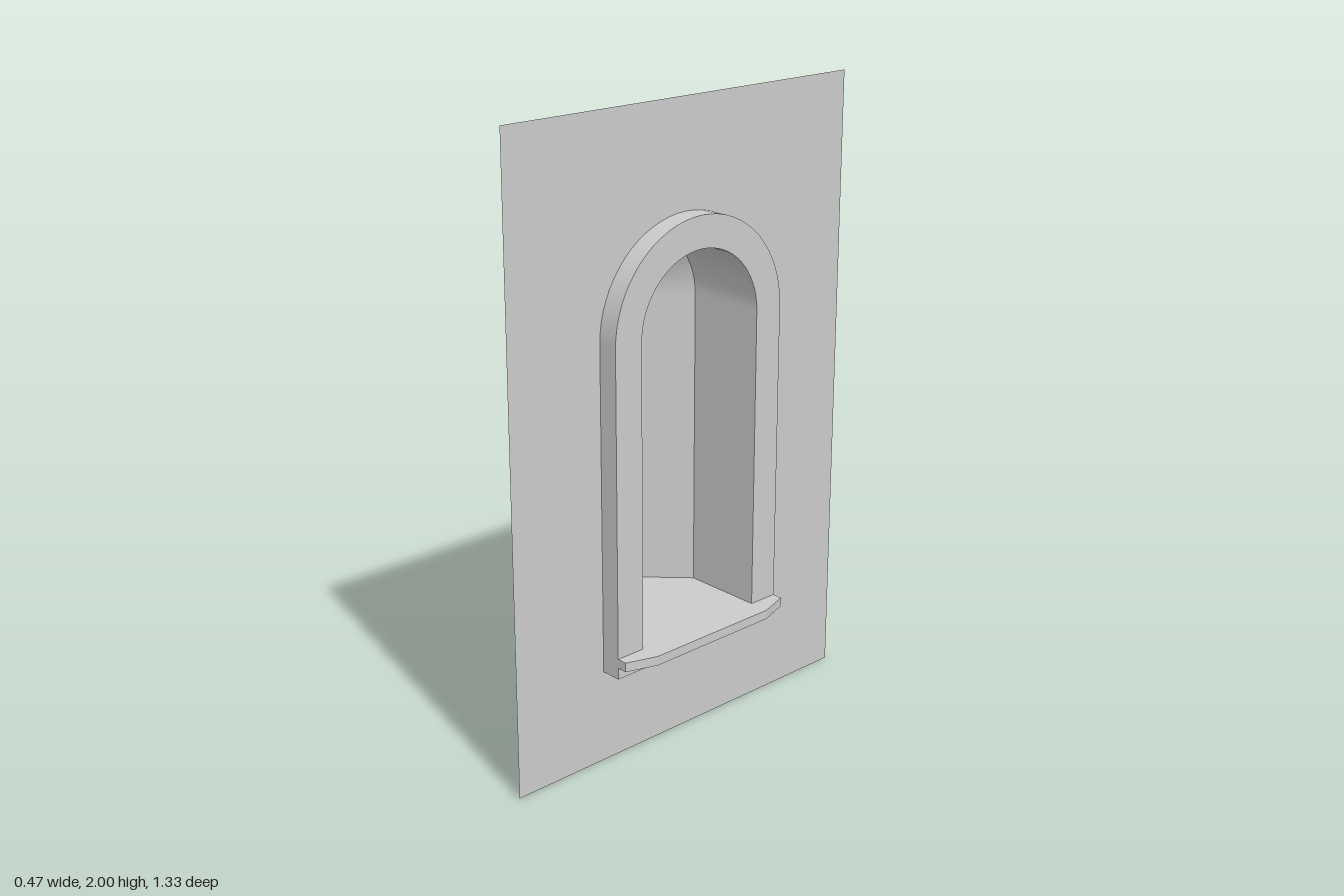
import * as THREE from 'three';

const SPRING = 1.333;   // height where the arches start to curve
const FLOOR = 0.367;    // niche floor
const WALL_X = 0.1;     // plane of the wall sheet
const FACE_X = 0.167;   // front face of the frame
const SEGMENTS = 32;

const material = new THREE.MeshStandardMaterial({ color: 0xcccccc, side: THREE.DoubleSide });

// Round-headed outline as [z, y] points, from one foot over the top to the other
function arch(radius, bottom) {
  const points = [new THREE.Vector2(radius, bottom)];
  for (let i = 0; i <= SEGMENTS; i++) {
    const a = (Math.PI * i) / SEGMENTS;
    points.push(new THREE.Vector2(radius * Math.cos(a), SPRING + radius * Math.sin(a)));
  }
  points.push(new THREE.Vector2(-radius, bottom));
  return points;
}

// Smooth strip between an arch at x0 and another at x1
function archBand(x0, r0, x1, r1, bottom) {
  const a = arch(r0, bottom), b = arch(r1, bottom);
  const position = [], index = [];
  a.forEach((p, i) => {
    position.push(x0, p.y, p.x, x1, b[i].y, b[i].x);
    if (i < a.length - 1) {
      const k = i * 2;
      index.push(k, k + 1, k + 3, k, k + 3, k + 2);
    }
  });
  const geometry = new THREE.BufferGeometry();
  geometry.setAttribute('position', new THREE.Float32BufferAttribute(position, 3));
  geometry.setIndex(index);
  geometry.computeVertexNormals();
  return geometry;
}

// Flat upright panel facing +x, with an optional opening
function panel(outline, x, opening) {
  const shape = new THREE.Shape(outline);
  if (opening) shape.holes.push(new THREE.Path(opening));
  return new THREE.ShapeGeometry(shape).rotateY(Math.PI / 2).translate(x, 0, 0);
}

const points = (list) => list.map(([x, y]) => new THREE.Vector2(x, y));

export function createModel() {
  const model = new THREE.Group();
  const add = (name, geometry, parent) => {
    const mesh = new THREE.Mesh(geometry, material);
    mesh.name = name;
    parent.add(mesh);
  };
  const group = (name) => {
    const g = new THREE.Group();
    g.name = name;
    model.add(g);
    return g;
  };

  // Thin wall with a gabled cut-out hidden behind the frame
  add('wall', panel(
    points([[-0.667, 0], [0.667, 0], [0.667, 2], [-0.667, 2]]), WALL_X,
    points([[-0.28, 0.335], [-0.28, 1.51], [0, 1.663], [0.28, 1.51], [0.28, 0.335]]),
  ), model);

  // Raised frame, open at the back
  const frame = group('frame');
  add('frameFace', panel(arch(0.333, 0.3), FACE_X, arch(0.233, FLOOR)), frame);
  add('frameRim', archBand(WALL_X, 0.333, FACE_X, 0.333, 0.3), frame);
  add('frameUnderside', new THREE.PlaneGeometry(FACE_X - WALL_X, 0.666)
    .rotateX(Math.PI / 2).translate((WALL_X + FACE_X) / 2, 0.3, 0), frame);

  // Niche: straight tunnel, tapered end and back panel over a flat floor
  const niche = group('niche');
  add('nicheTunnel', archBand(-0.1, 0.233, FACE_X, 0.233, FLOOR), niche);
  add('nicheTaper', archBand(-0.233, 0.1, -0.1, 0.233, FLOOR), niche);
  add('nicheBack', panel(arch(0.1, FLOOR), -0.233), niche);
  add('nicheFloor', new THREE.ShapeGeometry(new THREE.Shape(points([
    [FACE_X, -0.233], [FACE_X, 0.233], [-0.1, 0.233],
    [-0.233, 0.1], [-0.233, -0.1], [-0.1, -0.233],
  ]))).rotateX(-Math.PI / 2).translate(0, FLOOR, 0), niche);

  // Projecting ledge with clipped corners
  add('sill', new THREE.ExtrudeGeometry(new THREE.Shape(points([
    [FACE_X, -0.333], [0.2, -0.333], [0.233, -0.233],
    [0.233, 0.233], [0.2, 0.333], [FACE_X, 0.333],
  ])), { depth: 0.03, bevelEnabled: false }).rotateX(-Math.PI / 2).translate(0, FLOOR - 0.03, 0), model);

  return model;
}
